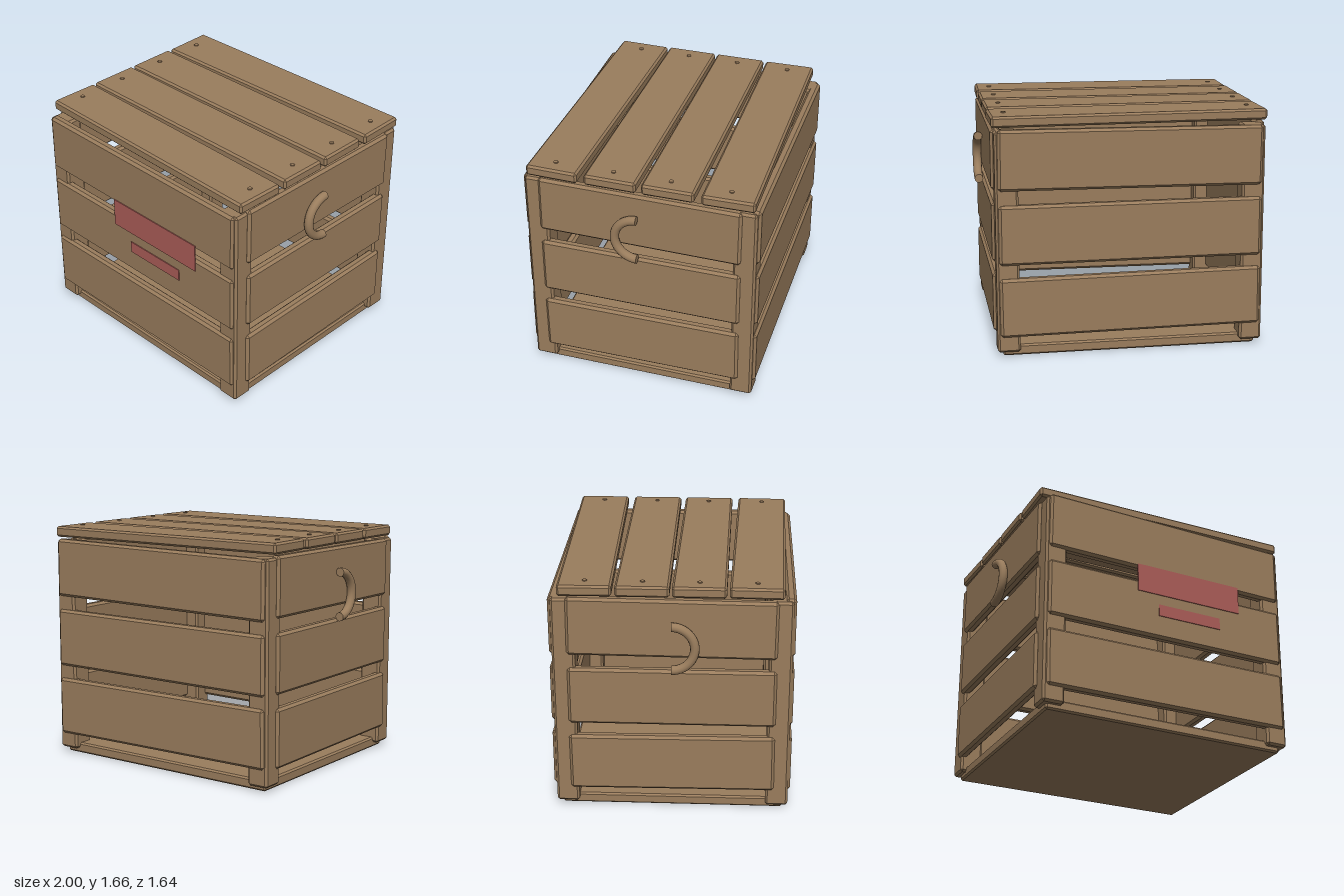
import * as THREE from 'three';
import { ConvexGeometry } from 'three/addons/geometries/ConvexGeometry.js';

const wood = new THREE.MeshStandardMaterial({ color: 0x9a7d5d });
wood.name = 'wood';
const red = new THREE.MeshStandardMaterial({ color: 0xac5d58 });
red.name = 'faded red';

// Box with every edge chamfered by c
function chamferBox(w, h, d, c) {
  const half = [w / 2, h / 2, d / 2];
  const points = [];
  for (const sx of [-1, 1]) for (const sy of [-1, 1]) for (const sz of [-1, 1]) {
    const s = [sx, sy, sz];
    for (let full = 0; full < 3; full++) {
      points.push(new THREE.Vector3(...half.map((v, i) => s[i] * (i === full ? v : v - c))));
    }
  }
  return new ConvexGeometry(points);
}

function add(parent, name, geometry, material, x, y, z) {
  const mesh = new THREE.Mesh(geometry, material);
  mesh.name = name;
  mesh.position.set(x, y, z);
  parent.add(mesh);
  return mesh;
}

// One wall of three slightly crooked slats, facing +z before it is turned
function slatWall(name, length, distance, turn) {
  const wall = new THREE.Group();
  wall.name = name;
  const rows = [[0.357, 0.008], [0.855, 0], [1.357, -0.008]];
  const geometry = chamferBox(length, 0.41, 0.07, 0.018);
  for (const [y, tilt] of rows) {
    add(wall, 'slat', geometry, wood, 0, y, distance - 0.035).rotation.z = tilt;
  }
  wall.rotation.y = turn;
  return wall;
}

export function createModel() {
  const crate = new THREE.Group();
  crate.name = 'crate';

  // Floor
  add(crate, 'floor', chamferBox(1.76, 0.075, 1.52, 0.012), wood, 0, 0.0375, 0);

  // Corner posts
  const postGeometry = chamferBox(0.155, 1.52, 0.155, 0.015);
  for (const sx of [-1, 1]) for (const sz of [-1, 1]) {
    add(crate, 'cornerPost', postGeometry, wood, sx * 0.842, 0.795, sz * 0.722);
  }

  // Walls
  crate.add(slatWall('frontWall', 1.8, 0.815, 0));
  crate.add(slatWall('backWall', 1.8, 0.82, Math.PI));
  crate.add(slatWall('leftWall', 1.4, 0.938, Math.PI / 2));
  crate.add(slatWall('rightWall', 1.4, 0.938, -Math.PI / 2));

  // Lid planks with a nail at each end
  const lid = new THREE.Group();
  lid.name = 'lid';
  crate.add(lid);
  const plankGeometry = chamferBox(1.88, 0.075, 0.358, 0.014);
  const nailGeometry = new THREE.CylinderGeometry(0.016, 0.016, 0.02, 8);
  const planks = [[-0.59, 0.02], [-0.197, 0.005], [0.187, -0.006], [0.577, -0.022]];
  for (const [z, yaw] of planks) {
    const plank = add(lid, 'lidPlank', plankGeometry, wood, 0, 1.6175, z);
    plank.rotation.y = yaw;
    for (const x of [-0.84, 0.84]) add(plank, 'nail', nailGeometry, wood, x, 0.0345, 0);
  }

  // Half-ring handles with closed ends
  const ringGeometry = new THREE.TorusGeometry(0.155, 0.031, 12, 24, Math.PI);
  const capGeometry = new THREE.CircleGeometry(0.031, 12);
  for (const side of [-1, 1]) {
    const handle = new THREE.Group();
    handle.name = side > 0 ? 'leftHandle' : 'rightHandle';
    handle.position.set(side * 0.969, 1.235, 0);
    const ring = add(handle, 'ring', ringGeometry, wood, 0, 0, 0);
    // Lay the arc in the y-z plane, bulging toward +z
    ring.rotation.set(0, -Math.PI / 2, -Math.PI / 2, 'YXZ');
    for (const y of [-0.155, 0.155]) {
      add(handle, 'ringEnd', capGeometry, wood, 0, y, 0).rotation.y = Math.PI;
    }
    crate.add(handle);
  }

  // Painted label plates on the front
  add(crate, 'largeLabel', new THREE.BoxGeometry(0.8, 0.205, 0.008), red, 0.16, 1.077, 0.817);
  add(crate, 'smallLabel', new THREE.BoxGeometry(0.48, 0.085, 0.008), red, 0.16, 0.857, 0.817);

  return crate;
}
